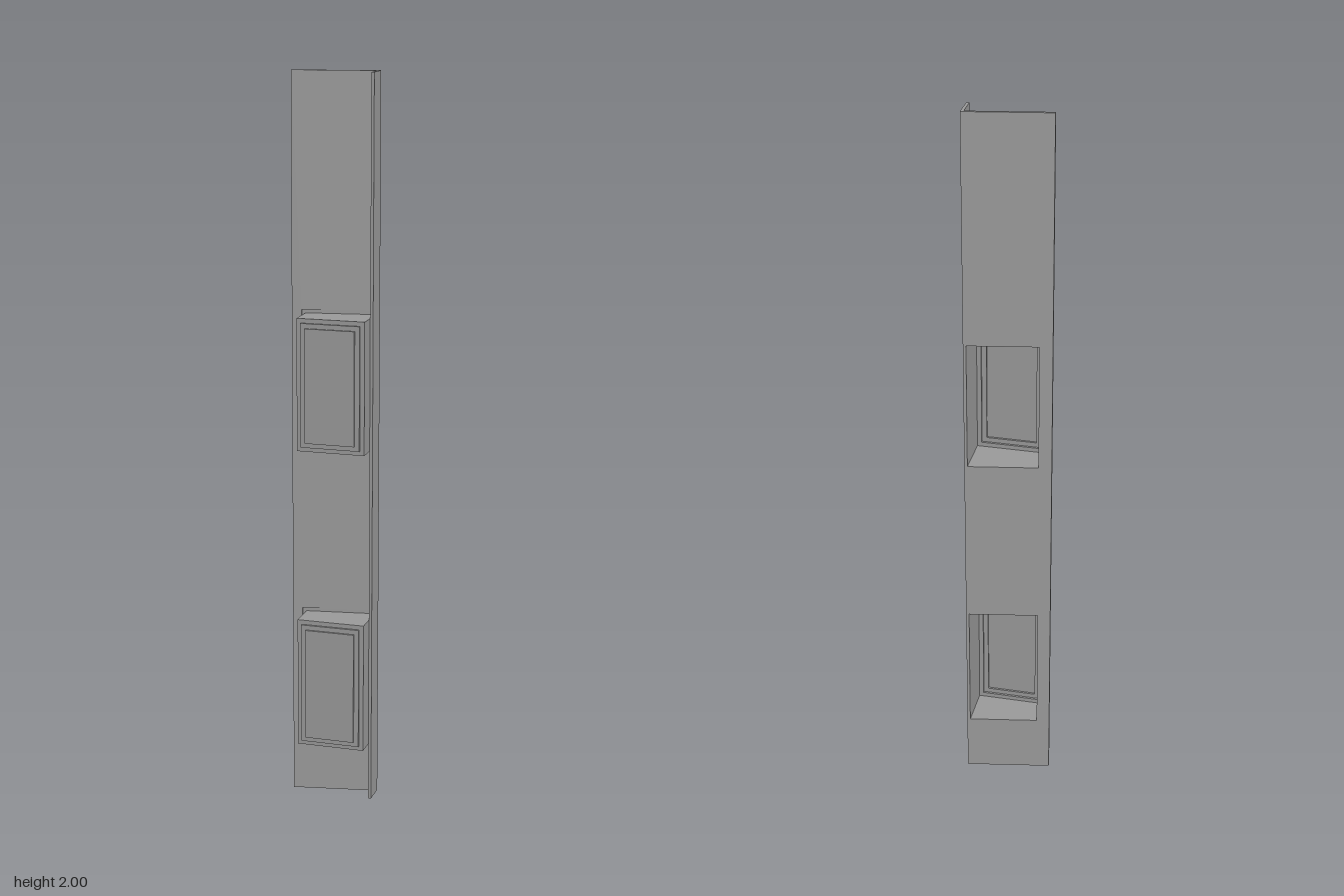
import * as THREE from 'three';

const HALF = 0.115, HEIGHT = 2;
const LEFT = -0.08, RIGHT = 0.107;                   // pocket width
const POCKETS = [[0.162, 0.523], [0.998, 1.359]];    // pocket heights
const backZ = x => -0.044 - 0.183 * x;               // slanted back of the plate
const THICK = 0.007;

const grey = new THREE.MeshStandardMaterial({ color: 0x999999, flatShading: true, side: THREE.DoubleSide });

function add(group, name, geometry) {
  const mesh = new THREE.Mesh(geometry, grey);
  mesh.name = name;
  group.add(mesh);
}

// Sheet with openings that follows the slant, between two offsets from the back.
function slantedSheet(margin, from, to) {
  const vectors = list => list.map(p => new THREE.Vector2(...p));
  const shape = new THREE.Shape(vectors([[-HALF, 0], [HALF, 0], [HALF, HEIGHT], [-HALF, HEIGHT]]));
  for (const [y0, y1] of POCKETS) {
    const x = LEFT - margin, b = y0 - margin, t = y1 + margin;
    shape.holes.push(new THREE.Path(vectors([[x, b], [RIGHT, b], [RIGHT, t], [x, t]])));
  }
  const g = new THREE.ExtrudeGeometry(shape, { depth: 1, bevelEnabled: false });
  const pos = g.attributes.position;
  for (let i = 0; i < pos.count; i++) {
    const x = pos.getX(i);
    pos.setZ(i, backZ(x) + (pos.getZ(i) > 0.5 ? to(x) : from(x)));
  }
  g.computeVertexNormals();
  return g;
}

// Hollow pocket, open at the back, with a front stepping out in two panels.
function pocketShell(y0, y1) {
  const rings = [[0, null], [0, 0.053], [0.012, 0.053], [0.012, 0.059], [0.025, 0.059], [0.025, 0.0645]];
  const points = [], index = [];
  for (const [inset, z] of rings) {
    const x0 = LEFT + inset, x1 = RIGHT - inset, b = y0 + inset, t = y1 - inset;
    for (const [x, y] of [[x0, b], [x1, b], [x1, t], [x0, t]]) points.push(x, y, z ?? backZ(x));
  }
  for (let r = 0; r < rings.length - 1; r++) {
    for (let i = 0; i < 4; i++) {
      const a = r * 4 + i, b = r * 4 + (i + 1) % 4;
      index.push(a, b, b + 4, a, b + 4, a + 4);
    }
  }
  const c = (rings.length - 1) * 4;
  index.push(c, c + 1, c + 2, c, c + 2, c + 3);
  const g = new THREE.BufferGeometry();
  g.setAttribute('position', new THREE.Float32BufferAttribute(points, 3));
  g.setIndex(index);
  const flat = g.toNonIndexed();
  flat.computeVertexNormals();
  return flat;
}

export function createModel() {
  const model = new THREE.Group();
  model.name = 'slantedPanel';

  // Plate: the wedge-shaped back layer leaves a rebate round each pocket that runs out toward the flange
  add(model, 'plateBack', slantedSheet(0, () => 0, x => 0.001 + 0.027 * (x + HALF)));
  add(model, 'plateFront', slantedSheet(0.01, () => 0.0005, () => THICK));

  // Edge flange
  const flange = new THREE.BoxGeometry(0.008, HEIGHT, 0.058);
  flange.translate(0.111, HEIGHT / 2, -0.029);
  add(model, 'sideFlange', flange);

  // Pockets
  POCKETS.forEach(([y0, y1], i) => add(model, i ? 'upperPocket' : 'lowerPocket', pocketShell(y0, y1)));
  return model;
}
